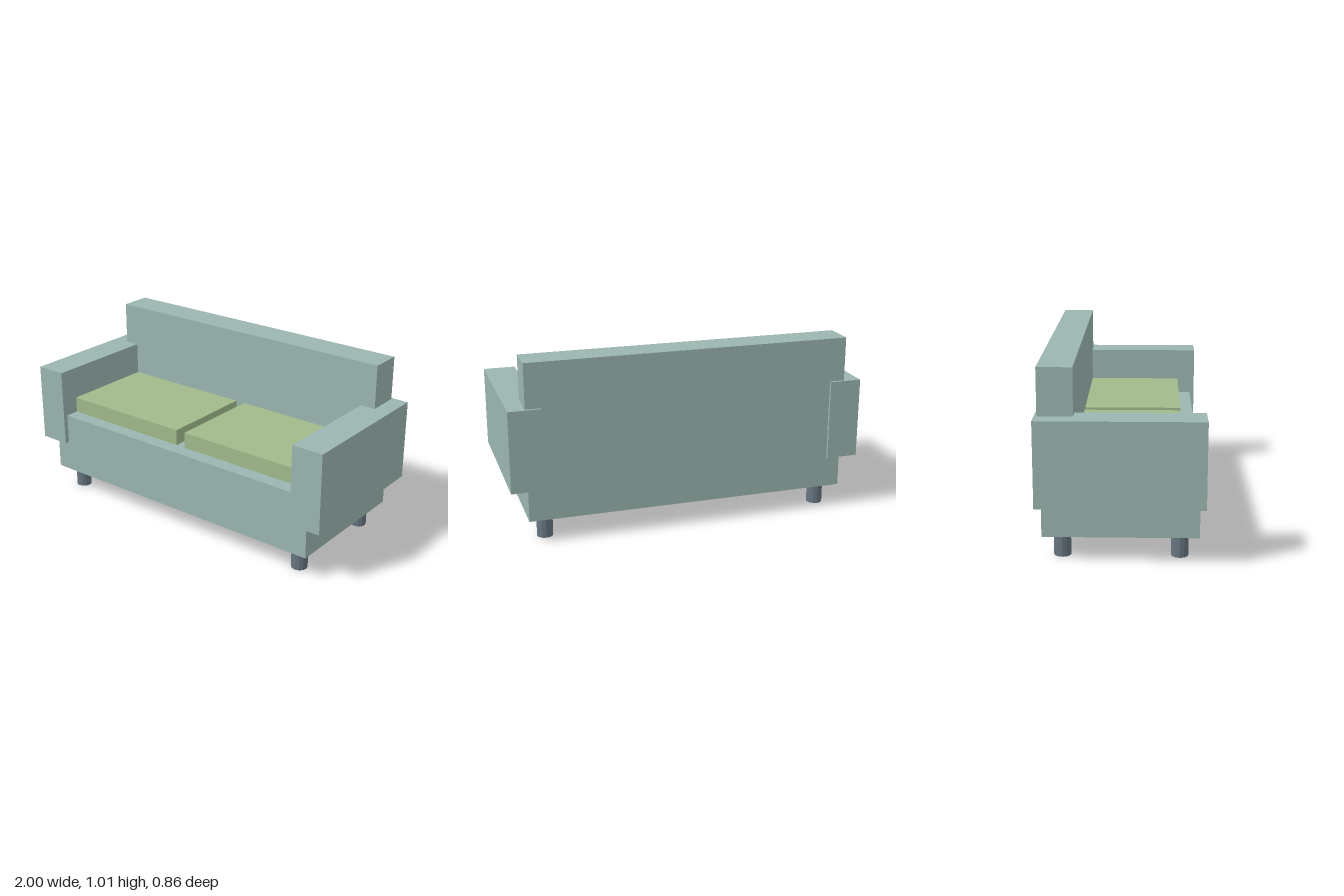
import * as THREE from 'three';

export function createModel() {
  const sofa = new THREE.Group();
  sofa.name = 'sofa';

  const upholstery = new THREE.MeshStandardMaterial({ color: 0x9bb5b0 });
  upholstery.name = 'sage upholstery';
  const cushionFabric = new THREE.MeshStandardMaterial({ color: 0xa1ba8b });
  cushionFabric.name = 'green cushion fabric';
  const legMetal = new THREE.MeshStandardMaterial({ color: 0x687681, flatShading: true });
  legMetal.name = 'slate legs';

  // Box given by its lower and upper limits on each axis
  function addBox(name, material, [x0, x1], [y0, y1], [z0, z1]) {
    const mesh = new THREE.Mesh(new THREE.BoxGeometry(x1 - x0, y1 - y0, z1 - z0), material);
    mesh.position.set((x0 + x1) / 2, (y0 + y1) / 2, (z0 + z1) / 2);
    mesh.name = name;
    sofa.add(mesh);
  }

  // Seat base and backrest
  addBox('seatBase', upholstery, [-0.906, 0.906], [0.13, 0.485], [-0.403, 0.403]);
  addBox('backrest', upholstery, [-0.906, 0.906], [0.305, 1.012], [-0.415, -0.234]);

  // Armrests and seat cushions, mirrored
  for (const [side, s] of [['left', 1], ['right', -1]]) {
    const span = (a, b) => (s > 0 ? [a, b] : [-b, -a]);
    addBox(side + 'Armrest', upholstery, span(0.82, 1), [0.311, 0.764], [-0.43, 0.43]);
    addBox(side + 'Cushion', cushionFabric, span(0.029, 0.83), [0.48, 0.576], [-0.25, 0.322]);
  }

  // Four round legs
  const legGeometry = new THREE.CylinderGeometry(0.045, 0.045, 0.135, 12);
  for (const x of [-0.807, 0.807]) {
    for (const z of [-0.304, 0.304]) {
      const leg = new THREE.Mesh(legGeometry, legMetal);
      leg.position.set(x, 0.0675, z);
      leg.name = (z > 0 ? 'front' : 'back') + (x > 0 ? 'Left' : 'Right') + 'Leg';
      sofa.add(leg);
    }
  }
  return sofa;
}
